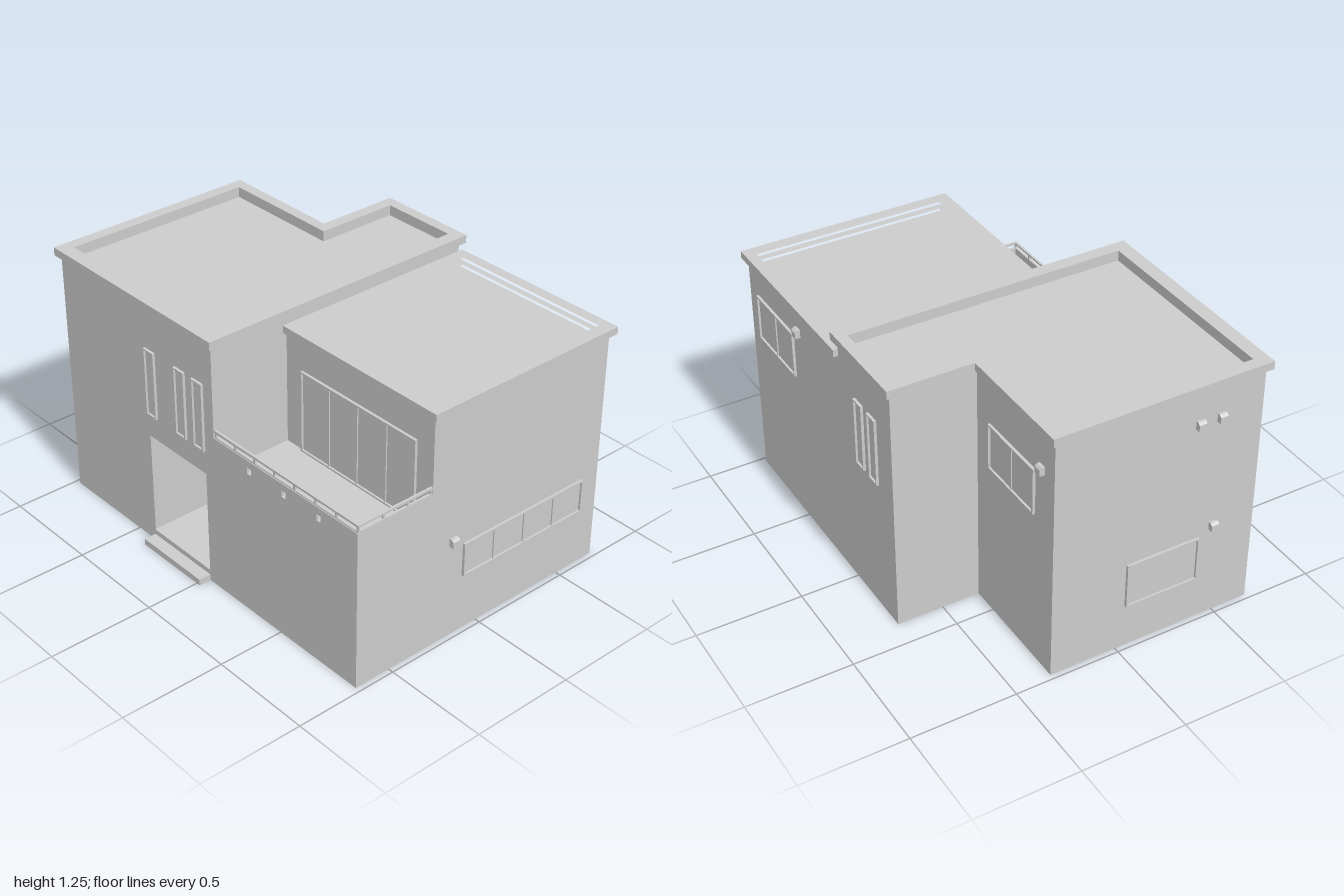
import * as THREE from 'three';

const grey = new THREE.MeshStandardMaterial({ color: 0xcccccc });

function mesh(parent, name, geometry) {
  const m = new THREE.Mesh(geometry, grey);
  m.name = name;
  parent.add(m);
  return m;
}

// Box given by its min and max on each axis
function box(parent, name, x0, x1, y0, y1, z0, z1) {
  const m = mesh(parent, name, new THREE.BoxGeometry(x1 - x0, y1 - y0, z1 - z0));
  m.position.set((x0 + x1) / 2, (y0 + y1) / 2, (z0 + z1) / 2);
  return m;
}

const rect = (x0, x1, y0, y1) => [[x0, y0], [x1, y0], [x1, y1], [x0, y1]];

function extrude(outline, holes, depth) {
  const v = (p) => p.map(([x, y]) => new THREE.Vector2(x, y));
  const shape = new THREE.Shape(v(outline));
  for (const h of holes) shape.holes.push(new THREE.Path(v(h)));
  return new THREE.ExtrudeGeometry(shape, { depth, bevelEnabled: false });
}

// Flat ring on a plan of [x, z] points, from y0 up to y1
function planRing(parent, name, outer, inner, y0, y1) {
  const flip = (p) => p.map(([x, z]) => [x, -z]);
  const g = extrude(flip(outer), [flip(inner)], y1 - y0);
  mesh(parent, name, g.rotateX(-Math.PI / 2).translate(0, y0, 0));
}

// Wall faces: group whose local x runs along the wall and local z points out
const faces = {
  front: (x, y, d) => [[x, y, d], 0],
  back: (x, y, d) => [[x, y, d], Math.PI],
  left: (z, y, d) => [[d, y, z], Math.PI / 2],
  right: (z, y, d) => [[d, y, z], -Math.PI / 2],
};

function onFace(parent, name, face, along, y, d) {
  const [p, turn] = faces[face](along, y, d);
  const g = new THREE.Group();
  g.name = name;
  g.position.set(...p);
  g.rotation.y = turn;
  parent.add(g);
  return g;
}

// Framed window with equal panes, a..b along the wall
function addWindow(parent, name, face, d, a, b, y0, y1, panes = 1) {
  const g = onFace(parent, name, face, (a + b) / 2, (y0 + y1) / 2, d);
  const w = Math.abs(b - a) / 2, h = (y1 - y0) / 2, t = 0.008;
  mesh(g, 'windowFrame', extrude(rect(-w, w, -h, h), [rect(-w + t, w - t, -h + t, h - t)], 0.013));
  box(g, 'pane', -w + t, w - t, -h + t, h - t, -0.005, 0.003);
  for (let i = 1; i < panes; i++) {
    const x = -w + (2 * w * i) / panes;
    box(g, 'mullion', x - 0.004, x + 0.004, -h + t, h - t, 0, 0.009);
  }
}

// Small hooded vent
function addVent(parent, name, face, d, along, y) {
  const g = onFace(parent, name, face, along, y, d);
  const side = [[0, -0.02], [0.024, -0.02], [0.024, 0.01], [0.012, 0.02], [0, 0.02]];
  const geo = extrude(side, [], 0.038).translate(0, 0, -0.019).rotateY(-Math.PI / 2);
  mesh(g, 'ventHood', geo);
}

export function createModel() {
  const house = new THREE.Group();
  house.name = 'house';

  // Main block, with the entry porch cut through its front part
  const porch = rect(-0.375, 0.02, 0.06, 0.56);
  const frontPart = extrude(rect(-0.975, 0.08, 0, 1.195), [porch], 0.41);
  mesh(house, 'mainFrontBlock', frontPart.translate(0, 0, 0.27));
  box(house, 'mainRearBlock', -0.975, 0.08, 0, 1.195, -0.32, 0.27);
  box(house, 'rearWing', -0.375, 0.08, 0, 1.195, -0.72, -0.32);

  // Main roof: low parapet and overhanging cap
  const mainInner = [[-0.94, 0.635], [0.04, 0.635], [0.04, -0.69], [-0.34, -0.69], [-0.34, -0.29], [-0.94, -0.29]];
  const mainOuter = (o) => [[-0.975 - o, 0.68 + o], [0.08 + o, 0.68 + o], [0.08 + o, -0.72 - o],
    [-0.375 - o, -0.72 - o], [-0.375 - o, -0.32 - o], [-0.975 - o, -0.32 - o]];
  planRing(house, 'mainParapet', mainOuter(0), mainInner, 1.195, 1.207);
  planRing(house, 'mainRoofCap', mainOuter(0.022), mainInner, 1.207, 1.245);

  // Side block and its roof
  box(house, 'sideBlock', 0.08, 0.975, 0, 1.095, -0.72, 0.28);
  const sideInner = rect(0.14, 0.94, -0.69, 0.235);
  planRing(house, 'sideParapet', rect(0.08, 0.975, -0.72, 0.28), sideInner, 1.095, 1.13);
  planRing(house, 'sideRoofCap', rect(0.08, 1, -0.742, 0.3), sideInner, 1.13, 1.165);

  // Balcony: base, thin parapets with drain openings, low railing
  box(house, 'balconyBase', 0.08, 0.975, 0, 0.59, 0.28, 0.68);
  const drains = [0.31, 0.53, 0.745].map((x) => rect(x - 0.013, x + 0.013, 0.705, 0.735));
  const parapet = extrude(rect(0.08, 0.975, 0.59, 0.77), drains, 0.015);
  mesh(house, 'balconyFrontParapet', parapet.translate(0, 0, 0.665));
  box(house, 'balconySideParapet', 0.96, 0.975, 0.59, 0.77, 0.28, 0.665);
  const railing = new THREE.Group();
  railing.name = 'railing';
  house.add(railing);
  box(railing, 'frontTopRail', 0.08, 0.975, 0.795, 0.805, 0.664, 0.676);
  box(railing, 'frontBottomRail', 0.08, 0.972, 0.77, 0.776, 0.664, 0.676);
  box(railing, 'sideTopRail', 0.962, 0.974, 0.795, 0.805, 0.28, 0.665);
  box(railing, 'sideBottomRail', 0.962, 0.974, 0.77, 0.776, 0.28, 0.665);
  for (let i = 0; i <= 7; i++) {
    const x = 0.088 + i * 0.1257;
    box(railing, 'frontPost', x - 0.005, x + 0.005, 0.77, 0.796, 0.665, 0.675);
  }
  for (const z of [0.285, 0.41, 0.54]) {
    box(railing, 'sidePost', 0.963, 0.973, 0.77, 0.796, z - 0.005, z + 0.005);
  }
  addWindow(house, 'balconyDoor', 'front', 0.28, 0.18, 0.88, 0.59, 0.985, 4);

  // Entry: step, threshold, door, handle and wall lamp
  box(house, 'entryStep', -0.38, 0.02, 0, 0.03, 0.68, 0.74);
  box(house, 'threshold', -0.375, 0.02, 0.05, 0.06, 0.67, 0.684);
  box(house, 'entryDoor', -0.3, -0.02, 0.06, 0.47, 0.26, 0.278);
  box(house, 'doorHandle', -0.2, -0.192, 0.17, 0.3, 0.278, 0.295);
  box(house, 'porchLamp', -0.36, -0.322, 0.388, 0.425, 0.27, 0.295);

  // Tall narrow windows, front and back
  for (const [a, b] of [[-0.38, -0.31], [-0.172, -0.102], [-0.05, 0.02]]) {
    addWindow(house, 'narrowFrontWindow', 'front', 0.68, a, b, 0.675, 1.005);
  }
  for (const [a, b] of [[-0.132, -0.06], [-0.25, -0.178]]) {
    addWindow(house, 'narrowBackWindow', 'back', -0.72, a, b, 0.675, 1.005);
  }

  // Wide windows
  addWindow(house, 'leftWindow', 'left', 0.975, 0.095, -0.62, 0.28, 0.445, 4);
  addWindow(house, 'rightWindow', 'right', -0.975, 0.04, 0.4, 0.22, 0.445);
  addWindow(house, 'sideBackWindow', 'back', -0.72, 0.523, 0.887, 0.765, 0.99, 2);
  addWindow(house, 'mainBackWindow', 'back', -0.32, -0.834, -0.478, 0.765, 0.99, 2);

  // Vents
  addVent(house, 'leftVent', 'left', 0.975, 0.155, 0.485);
  addVent(house, 'rightLowerVent', 'right', -0.975, 0.47, 0.485);
  addVent(house, 'rightUpperVent', 'right', -0.975, 0.365, 1.045);
  addVent(house, 'rightUpperVent', 'right', -0.975, 0.47, 1.045);
  addVent(house, 'sideBackVent', 'back', -0.72, 0.475, 1.025);
  addVent(house, 'mainBackVent', 'back', -0.32, -0.883, 1.025);

  return house;
}
